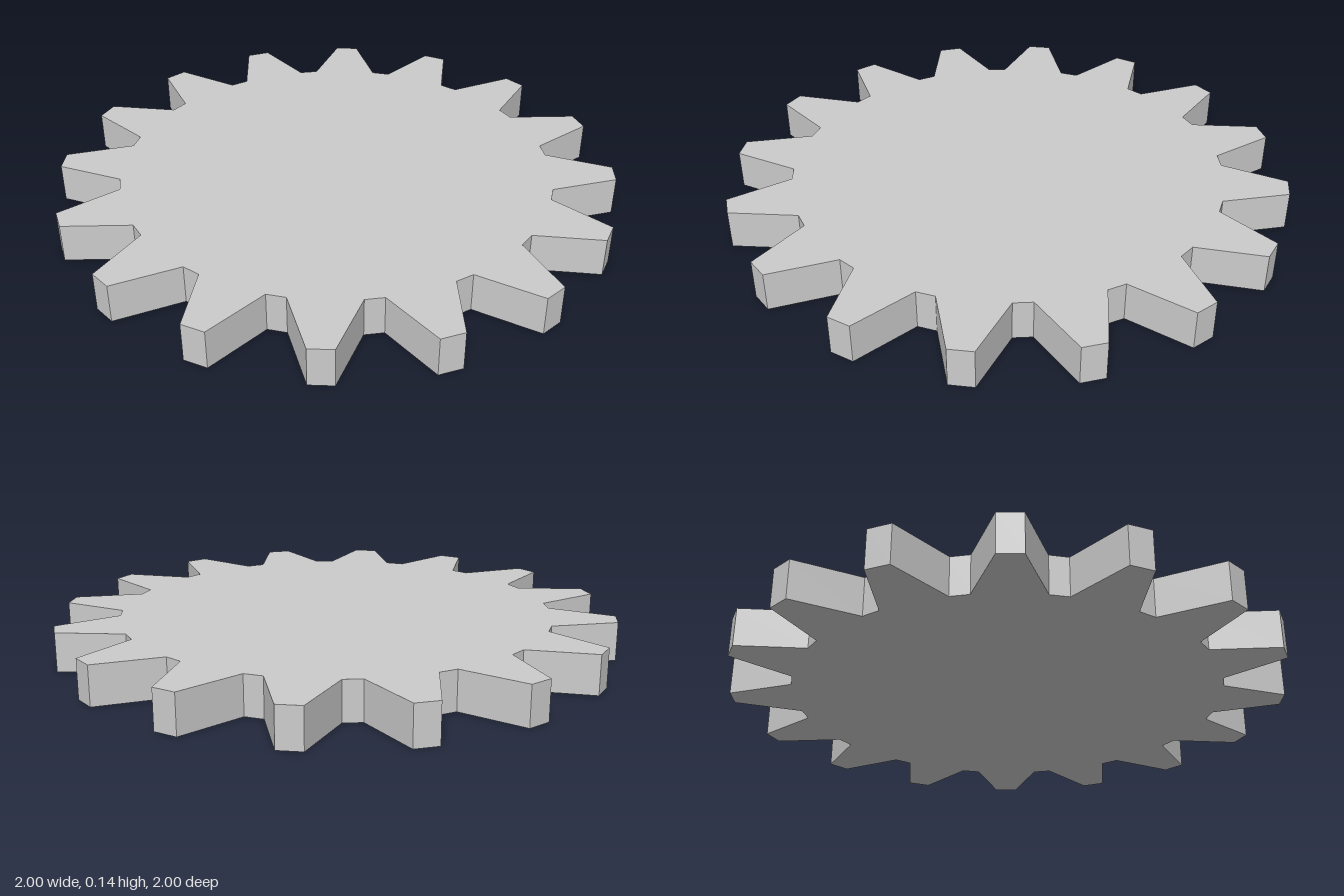
import * as THREE from 'three';

const TEETH = 16, TIP_R = 1.006, ROOT_R = 0.78, HEIGHT = 0.14;

export function createModel() {
  const group = new THREE.Group();
  group.name = 'gear';

  // One tooth: root, two tip corners, root (degrees clockwise from the back, radius)
  const tooth = [[0, ROOT_R], [6.4, TIP_R], [11.25, TIP_R], [17.6, ROOT_R]];
  const points = [];
  for (let i = 0; i < TEETH; i++) {
    for (const [deg, r] of tooth) {
      const a = THREE.MathUtils.degToRad(deg + (i * 360) / TEETH);
      points.push(new THREE.Vector2(r * Math.sin(a), r * Math.cos(a)));
    }
  }

  // Solid toothed disc lying flat on the ground
  const geometry = new THREE.ExtrudeGeometry(new THREE.Shape(points), {
    depth: HEIGHT,
    bevelEnabled: false,
  });
  geometry.rotateX(-Math.PI / 2);

  const disc = new THREE.Mesh(
    geometry,
    new THREE.MeshStandardMaterial({ color: 0xcccccc, flatShading: true })
  );
  disc.name = 'toothedDisc';
  group.add(disc);
  return group;
}
